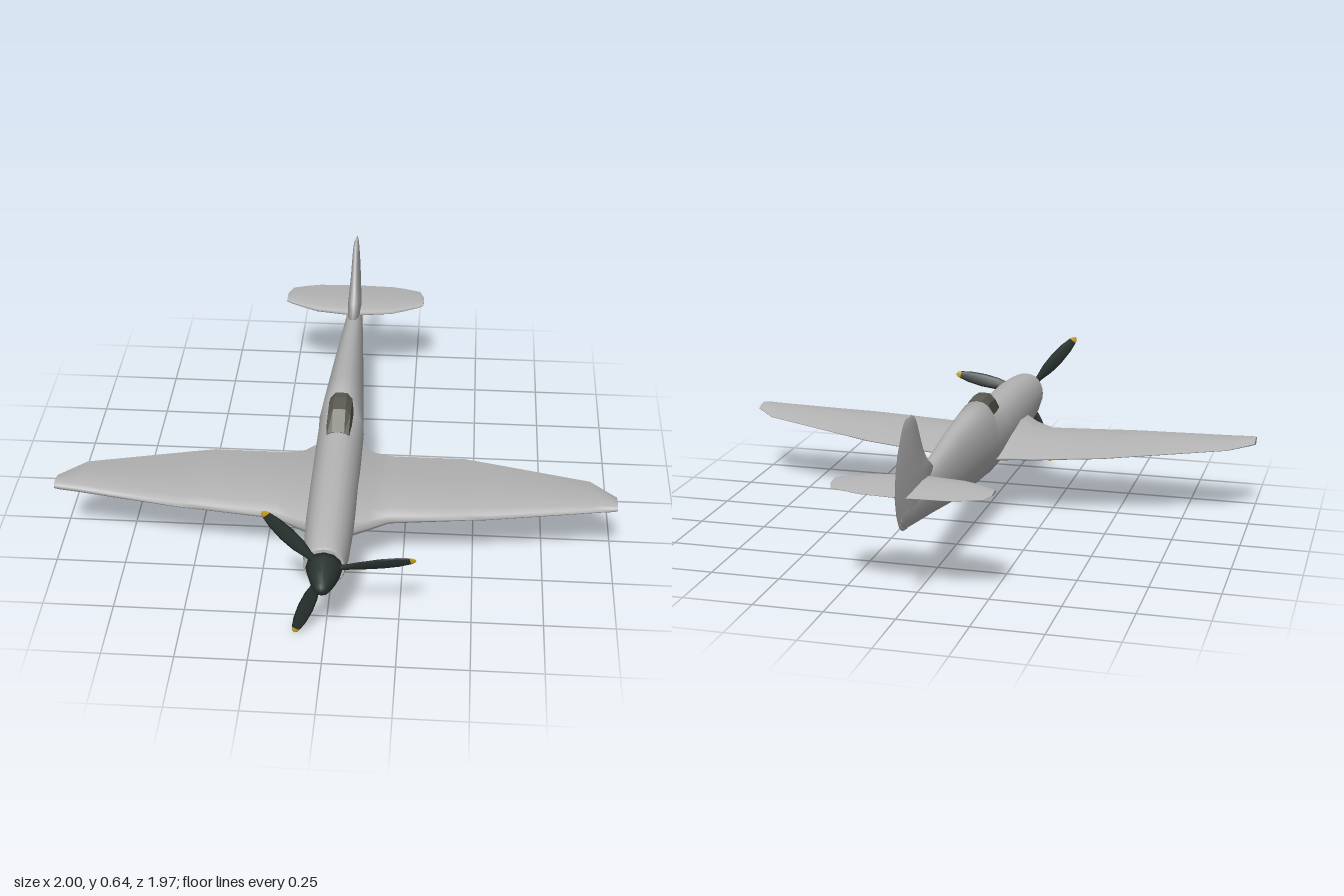
import * as THREE from 'three';

const paint = (name, color) => {
  const m = new THREE.MeshStandardMaterial({ color });
  m.name = name;
  return m;
};

// Skin a list of equal-length closed rings, smooth along the side, flat caps at both ends
function loft(rings) {
  const n = rings[0].length, pos = [], idx = [];
  rings.forEach(r => r.forEach(p => pos.push(...p)));
  for (let i = 0; i < rings.length - 1; i++) {
    for (let j = 0; j < n; j++) {
      const a = i * n + j, b = i * n + (j + 1) % n;
      idx.push(a, b, a + n, b, b + n, a + n);
    }
  }
  [rings[0], rings[rings.length - 1]].forEach((r, end) => {
    const base = pos.length / 3;
    const mid = [0, 1, 2].map(k => r.reduce((s, p) => s + p[k], 0) / n);
    r.forEach(p => pos.push(...p));
    pos.push(...mid);
    for (let j = 0; j < n; j++) {
      const a = base + j, b = base + (j + 1) % n;
      if (end) idx.push(a, b, base + n);
      else idx.push(b, a, base + n);
    }
  });
  // Turn the faces outward if the enclosed volume comes out negative
  const v = i => new THREE.Vector3().fromArray(pos, i * 3);
  let volume = 0;
  for (let i = 0; i < idx.length; i += 3) volume += v(idx[i]).dot(v(idx[i + 1]).cross(v(idx[i + 2])));
  if (volume < 0) idx.reverse();
  const g = new THREE.BufferGeometry();
  g.setAttribute('position', new THREE.Float32BufferAttribute(pos, 3));
  g.setIndex(idx);
  g.computeVertexNormals();
  return g;
}

// Airfoil outline as [chord position, offset]: along one side, back along the other
const CHORD = [0, 0.03, 0.12, 0.35, 0.65, 1];
const THICK = [0, 0.45, 0.8, 1, 0.7, 0.07];
function foil(front, back, lo, hi) {
  const mid = (lo + hi) / 2, half = (hi - lo) / 2;
  const at = (i, s) => [front + (back - front) * CHORD[i], mid + s * half * THICK[i]];
  return [0, 1, 2, 3, 4, 5].map(i => at(i, 1)).concat([5, 4, 3, 2, 1].map(i => at(i, -1)));
}

// Symmetric wing from half-span stations [x, front z, back z, low y, high y]
function wingGeometry(stations) {
  const full = stations.slice(1).reverse().map(([x, ...r]) => [-x, ...r]).concat(stations);
  return loft(full.map(([x, f, b, lo, hi]) => foil(f, b, lo, hi).map(([z, y]) => [x, y, z])));
}

function bodyRing([z, w, lo, hi], n = 24) {
  return Array.from({ length: n }, (_, i) => {
    const a = i / n * Math.PI * 2, c = Math.cos(a), s = Math.sin(a);
    const x = Math.sign(c) * Math.pow(Math.abs(c), 0.88) * w;
    return [x, (lo + hi) / 2 + s * (hi - lo) / 2, z];
  });
}

export function createModel() {
  const grey = paint('airframe grey', 0xb6b6b6);
  const dark = paint('propeller dark green', 0x28322f);
  const glass = paint('canopy glass', 0x5c5c52);
  const yellow = paint('blade tip yellow', 0xc9a01e);

  const model = new THREE.Group();
  model.name = 'airplane';
  const add = (name, geometry, material, parent = model) => {
    const mesh = new THREE.Mesh(geometry, material);
    mesh.name = name;
    parent.add(mesh);
    return mesh;
  };

  // Fuselage: [z, half width, bottom, top]
  add('fuselage', loft([
    [0.85, 0.068, 0.235, 0.382], [0.84, 0.071, 0.227, 0.388], [0.77, 0.078, 0.206, 0.4],
    [0.6, 0.084, 0.186, 0.418], [0.4, 0.085, 0.185, 0.423], [0.22, 0.085, 0.185, 0.425],
    [0.05, 0.084, 0.185, 0.43], [0.04, 0.083, 0.185, 0.48], [-0.1, 0.074, 0.192, 0.474],
    [-0.32, 0.06, 0.207, 0.459], [-0.6, 0.042, 0.25, 0.423], [-0.75, 0.03, 0.27, 0.42],
    [-0.9, 0.013, 0.29, 0.41], [-0.94, 0.006, 0.31, 0.4],
  ].map(s => bodyRing(s))), grey);

  // Main wing with root fillets
  add('wing', wingGeometry([
    [0, 0.62, 0.02, 0.187, 0.34], [0.08, 0.58, 0.045, 0.196, 0.318], [0.13, 0.545, 0.085, 0.203, 0.296],
    [0.2, 0.502, 0.1, 0.213, 0.284], [0.46, 0.497, 0.125, 0.24, 0.293], [0.54, 0.495, 0.15, 0.247, 0.295],
    [0.91, 0.453, 0.27, 0.273, 0.308], [0.985, 0.443, 0.35, 0.277, 0.31], [1, 0.44, 0.365, 0.281, 0.308],
  ]), grey);

  add('tailplane', wingGeometry([
    [0, -0.67, -0.91, 0.383, 0.419], [0.15, -0.69, -0.903, 0.388, 0.416], [0.2, -0.712, -0.89, 0.391, 0.415],
    [0.26, -0.745, -0.87, 0.394, 0.412], [0.277, -0.76, -0.82, 0.398, 0.409],
  ]), grey);

  // Fin and rudder: [y, front z, back z, half thickness]
  add('tailFin', loft([
    [0.29, -0.87, -0.915, 0.008], [0.31, -0.78, -0.945, 0.016], [0.36, -0.66, -0.972, 0.026],
    [0.42, -0.58, -0.985, 0.027], [0.46, -0.645, -0.983, 0.024], [0.51, -0.69, -0.972, 0.02],
    [0.56, -0.72, -0.952, 0.017], [0.62, -0.755, -0.91, 0.013], [0.645, -0.78, -0.885, 0.01],
    [0.656, -0.805, -0.86, 0.005],
  ].map(([y, f, b, t]) => foil(f, b, -t, t).map(([z, x]) => [x, y, z]))), grey);

  // Canopy: [z, bottom half width, roof half width, shoulder y, top y]
  const canopy = loft([
    [0.215, 0.042, 0.03, 0.418, 0.426], [0.15, 0.046, 0.03, 0.462, 0.484],
    [0.08, 0.047, 0.03, 0.465, 0.49], [0.038, 0.046, 0.028, 0.46, 0.483],
  ].map(([z, w, r, s, t]) => [
    [w, 0.4, z], [w, 0.41, z], [(w + r) / 2 + 0.003, s, z], [r * 0.75, t - 0.002, z], [0, t, z],
    [-r * 0.75, t - 0.002, z], [-(w + r) / 2 - 0.003, s, z], [-w, 0.41, z], [-w, 0.4, z],
  ])).toNonIndexed();
  canopy.computeVertexNormals();
  add('canopy', canopy, glass);

  // Propeller: spinner and three pitched blades
  const propeller = new THREE.Group();
  propeller.name = 'propeller';
  propeller.position.set(0, 0.308, 0.86);
  model.add(propeller);
  const profile = [[0, -0.02], [0.064, -0.02], [0.06, 0.01], [0.046, 0.06], [0.028, 0.105], [0.016, 0.12], [0, 0.123]];
  const spinner = new THREE.LatheGeometry(profile.map(p => new THREE.Vector2(...p)), 12);
  add('spinner', spinner, dark, propeller).rotation.x = Math.PI / 2;

  // Blade stations: [radius, half width, half thickness, pitch]
  const bladeRing = ([r, w, t, pitch]) => Array.from({ length: 8 }, (_, i) => {
    const a = i / 8 * Math.PI * 2, u = Math.cos(a) * w, v = Math.sin(a) * t;
    return [r, u * Math.cos(pitch) - v * Math.sin(pitch), u * Math.sin(pitch) + v * Math.cos(pitch)];
  });
  const joint = [0.292, 0.015, 0.003, 0.12];
  const blade = loft([
    [0.03, 0.01, 0.009, 0.4], [0.08, 0.014, 0.008, 0.4], [0.13, 0.024, 0.007, 0.33],
    [0.19, 0.027, 0.006, 0.25], [0.25, 0.023, 0.004, 0.17], joint,
  ].map(bladeRing));
  const tip = loft([joint, [0.305, 0.01, 0.0025, 0.1], [0.311, 0.004, 0.002, 0.1]].map(bladeRing));
  const blades = new THREE.Group();
  blades.name = 'blades';
  blades.rotation.x = 0.055;
  propeller.add(blades);
  for (let i = 0; i < 3; i++) {
    const arm = new THREE.Group();
    arm.name = 'blade' + (i + 1);
    arm.rotation.z = (10 + i * 120) * Math.PI / 180;
    add('bladeBody', blade, dark, arm);
    add('bladeTip', tip, yellow, arm);
    blades.add(arm);
  }
  return model;
}
